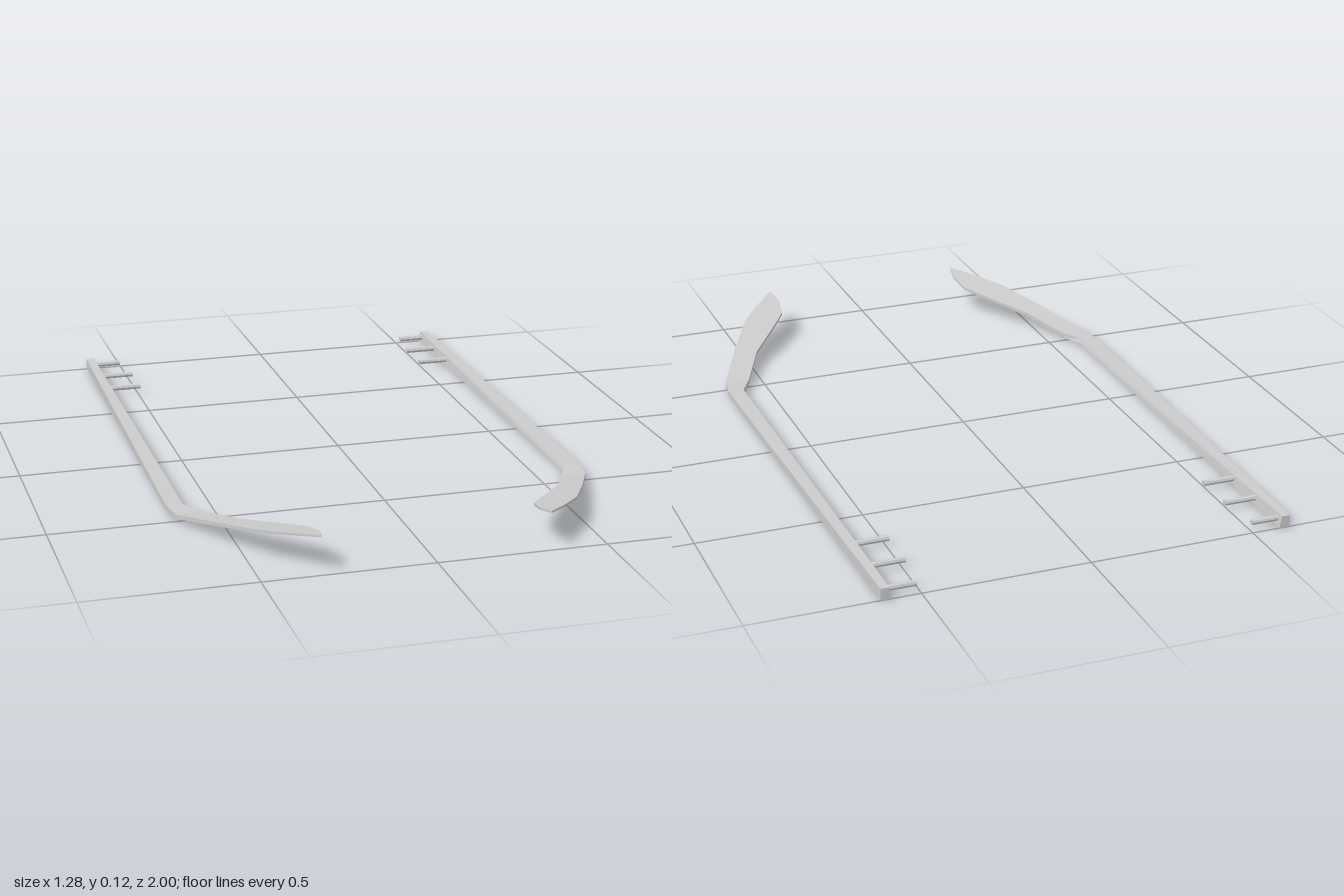
import * as THREE from 'three';

const material = new THREE.MeshStandardMaterial({ color: 0xcccccc, flatShading: true });
const lerp = THREE.MathUtils.lerp;

// Inner and outer edge of the arm in plan: [innerX, innerZ, outerX, outerZ]
const shaftRows = [
  [0.585, -1, 0.617, -1],
  [0.585, 0.43, 0.64, 0.43],
  [0.553, 0.5, 0.628, 0.508],
];
const bladeRows = [
  shaftRows[2],
  [0.48, 0.656, 0.548, 0.683],
  [0.373, 0.8, 0.468, 0.84],
  [0.33, 0.863, 0.4, 0.926],
  [0.318, 0.937, 0.33, 1],
];

// The shaft lies level and thins forward, the blade slopes up to a thin tip
function heights(z) {
  if (z <= 0.51) {
    const t = (z + 1) / 1.51;
    return [lerp(0, 0.011, t), lerp(0.036, 0.025, t)];
  }
  const t = (z - 0.51) / 0.49;
  return [lerp(0.011, 0.111, t), lerp(0.025, 0.117, t)];
}

// Loft of four-cornered sections; side is +1 or -1 and mirrors in x
function loft(rows, side, capBack, capFront) {
  const positions = [];
  const index = [];
  const quad = (a, b, c, d) =>
    side > 0 ? index.push(a, b, c, a, c, d) : index.push(a, c, b, a, d, c);
  rows.forEach(([xi, zi, xo, zo], r) => {
    const [innerLow, innerHigh] = heights(zi);
    const [outerLow, outerHigh] = heights(zo);
    const inset = zi < 0.45 ? 0.006 : 0;
    positions.push(
      side * xi, innerLow, zi,
      side * xo, outerLow, zo,
      side * xo, outerHigh, zo,
      side * (xi + inset), innerHigh, zi,
    );
    if (r === 0) return;
    const p = (r - 1) * 4;
    const q = r * 4;
    for (let i = 0; i < 4; i++) {
      const j = (i + 1) % 4;
      quad(p + i, p + j, q + j, q + i);
    }
  });
  const last = (rows.length - 1) * 4;
  if (capBack) quad(3, 2, 1, 0);
  if (capFront) quad(last, last + 1, last + 2, last + 3);

  const indexed = new THREE.BufferGeometry();
  indexed.setAttribute('position', new THREE.Float32BufferAttribute(positions, 3));
  indexed.setIndex(index);
  const geometry = indexed.toNonIndexed();
  geometry.computeVertexNormals();
  return geometry;
}

function addMesh(parent, name, geometry) {
  const mesh = new THREE.Mesh(geometry, material);
  mesh.name = name;
  parent.add(mesh);
  return mesh;
}

function createArm(side) {
  const arm = new THREE.Group();
  arm.name = side > 0 ? 'leftArm' : 'rightArm';
  addMesh(arm, 'shaft', loft(shaftRows, side, true, false));
  addMesh(arm, 'blade', loft(bladeRows, side, false, true));

  // Short round pegs pointing inward near the back end: [z, tip x]
  [[-0.975, 0.507], [-0.837, 0.49], [-0.7, 0.49]].forEach(([z, tip], i) => {
    const root = 0.597;
    const geometry = new THREE.CylinderGeometry(0.009, 0.009, root - tip, 8);
    const peg = addMesh(arm, `peg${i + 1}`, geometry);
    peg.rotation.z = Math.PI / 2;
    peg.position.set((side * (root + tip)) / 2, 0.021, z);
  });
  return arm;
}

export function createModel() {
  const model = new THREE.Group();
  model.name = 'pairOfBladedArms';
  model.add(createArm(1), createArm(-1));
  return model;
}
